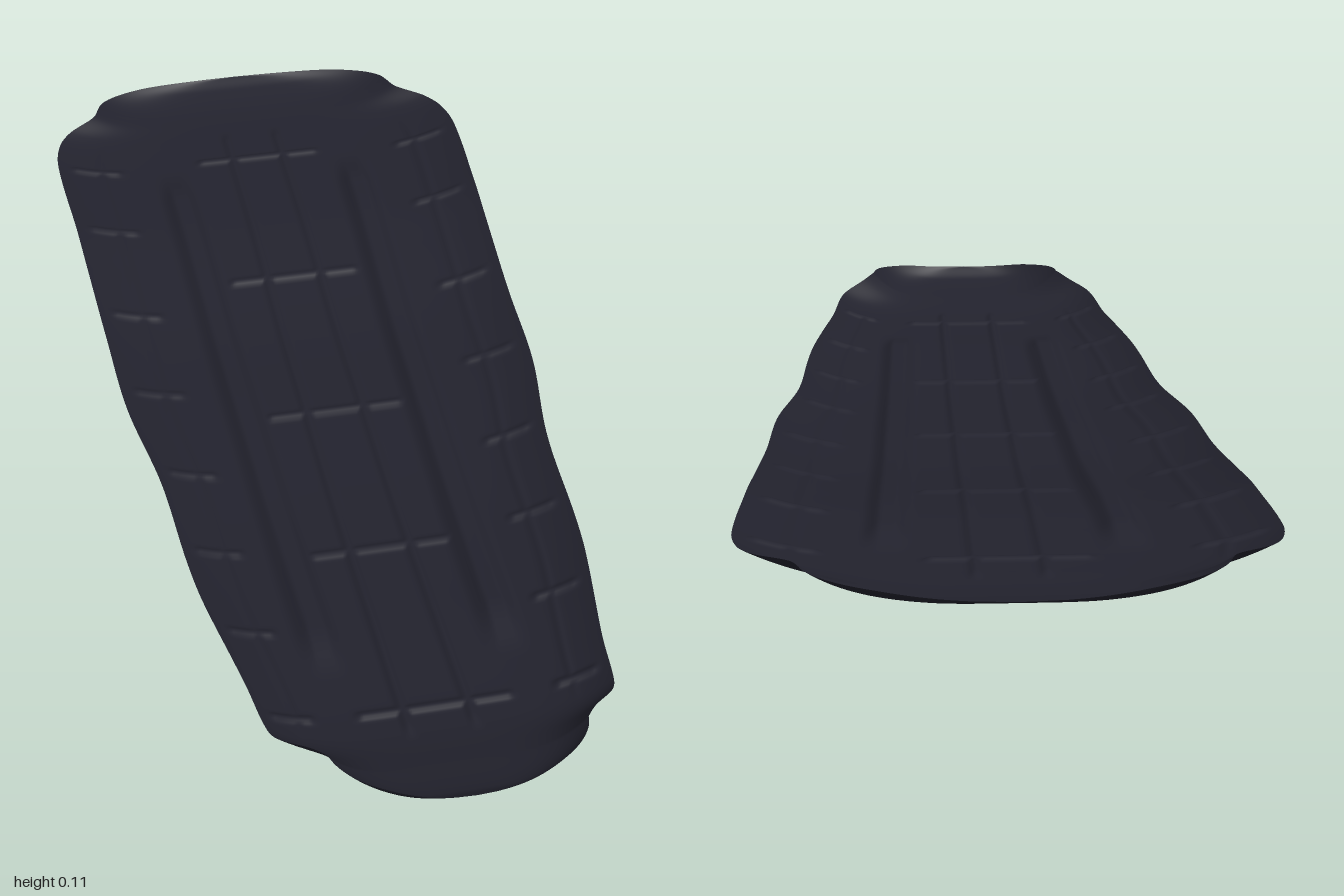
import * as THREE from 'three';

// Smooth curve through [position, value] pairs
function curve(points) {
  const n = points.length;
  const slope = points.map((p, i) => {
    const a = points[Math.max(0, i - 1)], b = points[Math.min(n - 1, i + 1)];
    return (b[1] - a[1]) / (b[0] - a[0]);
  });
  return (x) => {
    let i = 0;
    while (i < n - 2 && x > points[i + 1][0]) i++;
    const [x0, y0] = points[i], [x1, y1] = points[i + 1];
    const h = x1 - x0, t = Math.min(1, Math.max(0, (x - x0) / h));
    const t2 = t * t, t3 = t2 * t;
    return (2 * t3 - 3 * t2 + 1) * y0 + (t3 - 2 * t2 + t) * h * slope[i]
      + (3 * t2 - 2 * t3) * y1 + (t3 - t2) * h * slope[i + 1];
  };
}

// Half width between the two rounded end lips
const bodyWidth = curve([[-0.9, 0.295], [-0.87, 0.31], [-0.83, 0.36], [-0.79, 0.385], [-0.72, 0.396],
  [-0.5, 0.385], [-0.2, 0.37], [0, 0.36], [0.2, 0.33], [0.4, 0.318], [0.5, 0.308], [0.7, 0.275],
  [0.8, 0.262], [0.83, 0.25], [0.87, 0.212], [0.9, 0.19]]);
// Height along the middle, and of the rim
const middle = curve([[-1, 0.1], [-0.97, 0.087], [-0.9, 0.072], [-0.8, 0.066], [-0.6, 0.057], [-0.5, 0.052],
  [-0.4, 0.041], [-0.2, 0.018], [0, 0.012], [0.3, 0.003], [0.6, 0.014], [0.8, 0.024], [0.9, 0.045],
  [0.97, 0.064], [1, 0.085]]);
const rim = curve([[-1, 0.1], [-0.97, 0.11], [-0.9, 0.117], [-0.8, 0.108], [-0.6, 0.1], [-0.5, 0.096],
  [-0.4, 0.084], [-0.2, 0.062], [0, 0.055], [0.3, 0.046], [0.6, 0.055], [0.8, 0.066], [0.9, 0.099],
  [0.97, 0.096], [1, 0.085]]);

function halfWidth(z) {
  const end = (Math.abs(z) - 0.89) / 0.11;
  if (end <= 0.09) return bodyWidth(z);
  return (z < 0 ? 0.296 : 0.192) * Math.sqrt(Math.max(0, 1 - end * end));
}

const bump = (d, w) => (Math.abs(d) < w ? 0.5 + 0.5 * Math.cos(Math.PI * d / w) : 0);
const within = (v, a, b, fade) =>
  THREE.MathUtils.smoothstep(v, a - fade, a + fade) * (1 - THREE.MathUtils.smoothstep(v, b - fade, b + fade));

const MIDDLE_BARS = [-0.74, -0.36, 0.02, 0.38, 0.76];
const EDGE_BARS = [-0.72, -0.52, -0.28, -0.06, 0.16, 0.36, 0.56, 0.76];

// Pressed ribs: two broad channels, fine lengthwise ribs and short cross bars
function relief(x, z, s) {
  const a = Math.abs(x);
  const channelX = 0.158 - 0.026 * z;
  let h = 0.017 * Math.min(1, 1.3 * bump(a - channelX, 0.042)) * within(z, -0.66, 0.62, 0.06);
  let fine = bump(a - 0.05, 0.013) * within(z, -0.82, 0.81, 0.02);
  fine = Math.max(fine, 0.5 * bump(s - 0.79, 0.035) * within(z, -0.78, 0.78, 0.04));
  for (const b of MIDDLE_BARS) fine = Math.max(fine, bump(z - b, 0.015) * within(a, -1, 0.12, 0.01));
  for (const b of EDGE_BARS) fine = Math.max(fine, bump(z - b, 0.015) * within(s, 0.69, 0.93, 0.03));
  return Math.max(h, 0.006 * fine);
}

// Thin dished sheet, built from cross-sections running back to front
function sheetGeometry(rows, cols) {
  const positions = [], index = [];
  for (let r = 0; r <= rows; r++) {
    const t = (2 * r) / rows - 1;
    const z = 0.5 * t + 0.5 * Math.sin(t * Math.PI / 2);
    const w = Math.max(0.002, halfWidth(z));
    const low = middle(z), high = rim(z);
    for (let c = 0; c <= cols; c++) {
      const u = (2 * c) / cols - 1, s = Math.abs(u), x = u * w;
      const y = low + (high - low) * Math.pow(s, 4.5) + relief(x, z, s);
      positions.push(x, y, z);
      if (r < rows && c < cols) {
        const i = r * (cols + 1) + c, j = i + cols + 1;
        index.push(i, j, i + 1, i + 1, j, j + 1);
      }
    }
  }
  const geometry = new THREE.BufferGeometry();
  geometry.setAttribute('position', new THREE.Float32BufferAttribute(positions, 3));
  geometry.setIndex(index);
  geometry.computeVertexNormals();
  return geometry;
}

export function createModel() {
  const group = new THREE.Group();
  group.name = 'paddedMat';
  const fabric = new THREE.MeshStandardMaterial({ color: 0x22222d, side: THREE.DoubleSide });
  fabric.name = 'dark navy fabric';
  const sheet = new THREE.Mesh(sheetGeometry(400, 160), fabric);
  sheet.name = 'matSheet';
  group.add(sheet);
  return group;
}
